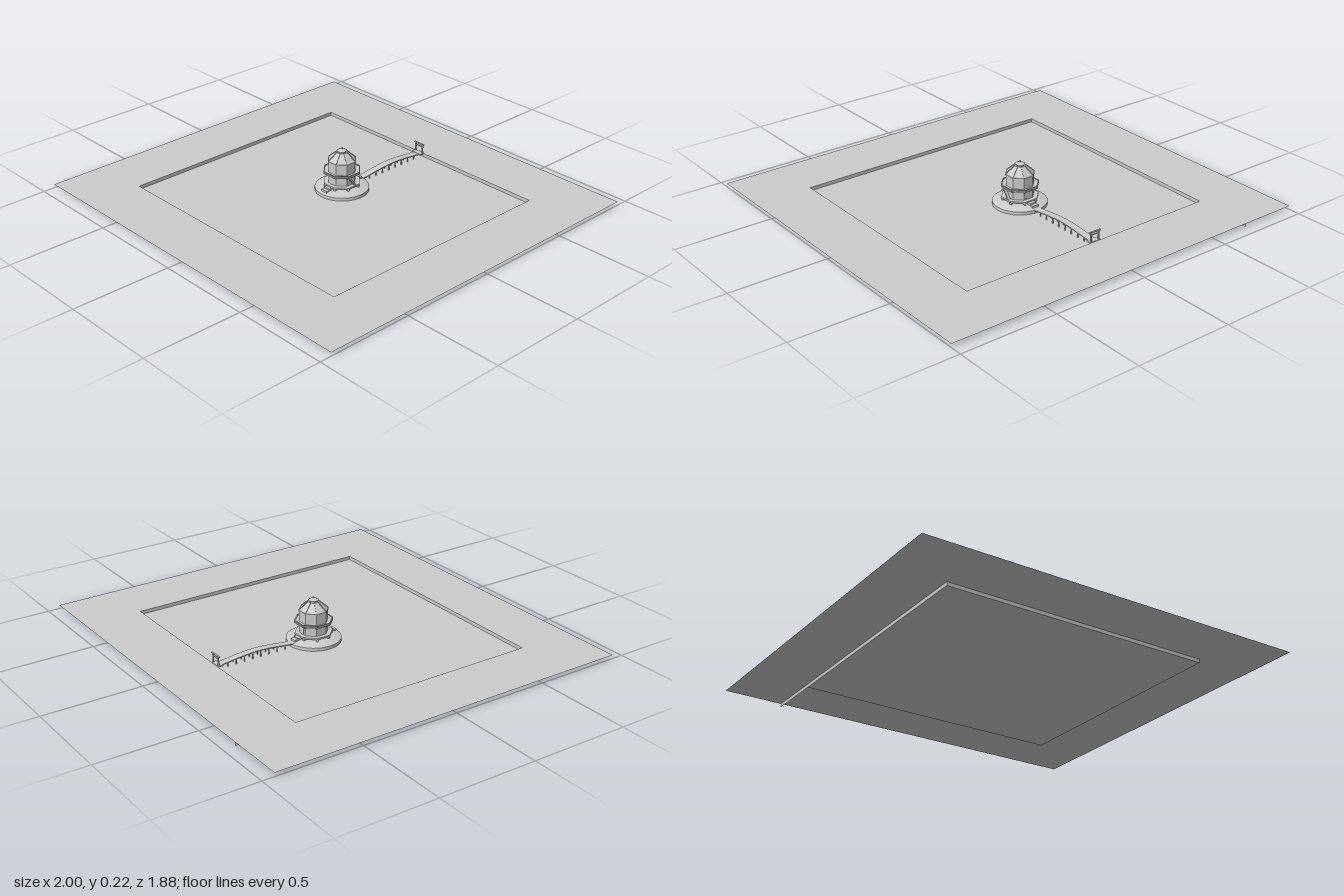
import * as THREE from 'three';

export function createModel() {
  const root = new THREE.Group();
  const mat = new THREE.MeshStandardMaterial({ color: 0xcccccc, flatShading: true, side: THREE.DoubleSide });
  const RIM = 0.018; // height of the ground around the basin

  const add = (parent, name, geo, x = 0, y = 0, z = 0) => {
    const m = new THREE.Mesh(geo, mat);
    m.name = name;
    m.position.set(x, y, z);
    parent.add(m);
    return m;
  };
  const box = (parent, name, w, h, d, x, y, z) => add(parent, name, new THREE.BoxGeometry(w, h, d), x, y, z);
  const group = (name, x = 0, z = 0) => {
    const g = new THREE.Group();
    g.name = name;
    g.position.set(x, 0, z);
    root.add(g);
    return g;
  };
  const rect = (Kind, x0, x1, z0, z1) => {
    const s = new Kind();
    s.moveTo(x0, -z0).lineTo(x1, -z0).lineTo(x1, -z1).lineTo(x0, -z1).closePath();
    return s;
  };

  // Ground sheet with a rectangular sunken basin
  const X = 0.7, ZB = -0.64, ZF = 0.645;
  const ground = rect(THREE.Shape, -1, 1, -0.94, 0.94);
  ground.holes.push(rect(THREE.Path, -X, X, ZB, ZF));
  add(root, 'ground', new THREE.ShapeGeometry(ground).rotateX(-Math.PI / 2), 0, RIM, 0);
  const basin = group('basin');
  add(basin, 'basinFloor', new THREE.ShapeGeometry(rect(THREE.Shape, -X, X, ZB, ZF)).rotateX(-Math.PI / 2));
  const wall = (x0, z0, x1, z1) => {
    const w = add(basin, 'basinWall', new THREE.PlaneGeometry(Math.hypot(x1 - x0, z1 - z0), RIM),
      (x0 + x1) / 2, RIM / 2, (z0 + z1) / 2);
    w.rotation.y = Math.atan2(-(z1 - z0), x1 - x0);
  };
  wall(-X, ZB, X, ZB);
  wall(-X, ZF, X, ZF);
  wall(X, ZB, X, ZF);
  wall(-X, -0.94, -X, ZF); // this side runs on to the back edge

  // Round island
  const tower = group('tower', -0.03, -0.09);
  const prof = [[0.134, 0], [0.134, 0.016], [0.128, 0.019], [0.098, 0.028], [0, 0.028]];
  add(tower, 'island', new THREE.LatheGeometry(prof.map(p => new THREE.Vector2(...p)), 40));

  // Octagonal parts, sized by the distance from the axis to a flat side
  const C = 1 / Math.cos(Math.PI / 8);
  const oct = (name, top, bottom, y0, y1) =>
    add(tower, name, new THREE.CylinderGeometry(top * C, bottom * C, y1 - y0, 8).rotateY(Math.PI / 8), 0, (y0 + y1) / 2, 0);
  const octRing = (name, outer, inner, y0, y1) => {
    const pts = [[inner, y0], [outer, y0], [outer, y1], [inner, y1], [inner, y0]];
    add(tower, name, new THREE.LatheGeometry(pts.map(([r, y]) => new THREE.Vector2(r * C, y)), 8).rotateY(Math.PI / 8));
  };
  oct('platform', 0.086, 0.086, 0.038, 0.046);
  oct('towerBody', 0.065, 0.065, 0.028, 0.157);
  octRing('balcony', 0.088, 0.06, 0.097, 0.103);
  octRing('balconyRail', 0.088, 0.083, 0.107, 0.11);
  oct('eaves', 0.068, 0.068, 0.155, 0.161);
  oct('roof', 0.025, 0.066, 0.161, 0.2);
  oct('cupola', 0.019, 0.019, 0.2, 0.21);
  oct('cupolaRoof', 0.004, 0.024, 0.209, 0.218);
  add(tower, 'finial', new THREE.SphereGeometry(0.005, 8, 6), 0, 0.22, 0);

  // Corner legs, balcony posts, braces and roof ribs
  for (let i = 0; i < 8; i++) {
    const corner = new THREE.Group();
    corner.name = 'corner';
    corner.rotation.y = Math.PI / 8 + i * Math.PI / 4;
    tower.add(corner);
    box(corner, 'leg', 0.011, 0.021, 0.011, 0, 0.03, 0.085);
    box(corner, 'balconyPost', 0.005, 0.012, 0.005, 0, 0.104, 0.092);
    box(corner, 'balconyBrace', 0.004, 0.004, 0.03, 0, 0.091, 0.08).rotation.x = -0.6;
    const rib = box(corner, 'roofRib', 0.004, 0.004, 0.06, 0, 0.182, 0.049);
    rib.rotation.x = Math.atan2(0.039, 0.0444);
  }

  // Front and back steps, and a steep side stair up to the balcony
  for (const s of [1, -1]) {
    box(tower, 'lowerStep', 0.036, 0.022, 0.036, 0, 0.021, s * 0.102);
    box(tower, 'upperStep', 0.036, 0.014, 0.02, 0, 0.032, s * 0.092);
    box(tower, 'door', 0.026, 0.04, 0.004, 0, 0.066, s * 0.065);
  }
  box(tower, 'stair', 0.014, 0.008, 0.068, 0.077, 0.072, 0.008).rotation.x = -0.92;

  // Arched footbridge, a strip extruded across its width
  const bridge = group('bridge', -0.03);
  const Z0 = -0.22, Z1 = -0.625, N = 20;
  const archY = t => 0.019 + 0.017 * Math.sin(Math.PI * t) ** 1.3;
  const side = new THREE.Shape();
  for (let i = 0; i <= N; i++) side[i ? 'lineTo' : 'moveTo'](-(Z0 + (Z1 - Z0) * i / N), archY(i / N));
  for (let i = N; i >= 0; i--) side.lineTo(-(Z0 + (Z1 - Z0) * i / N), archY(i / N) - 0.005);
  const deck = new THREE.ExtrudeGeometry(side, { depth: 0.038, bevelEnabled: false });
  deck.translate(0, 0, -0.019).rotateY(Math.PI / 2);
  add(bridge, 'bridgeDeck', deck);
  for (let i = 1; i < 9; i++) {
    const t = i / 9, h = archY(t) - 0.002;
    for (const s of [1, -1]) box(bridge, 'bridgePile', 0.004, h, 0.005, s * 0.015, h / 2, Z0 + (Z1 - Z0) * t);
  }

  // Gate at the far end of the bridge
  const gate = group('gate', -0.03, -0.635);
  box(gate, 'gateSill', 0.06, 0.006, 0.028, 0, 0.019, 0.008);
  for (const s of [1, -1]) box(gate, 'gatePost', 0.006, 0.054, 0.006, s * 0.023, 0.041, 0);
  box(gate, 'gateLowerBeam', 0.054, 0.004, 0.004, 0, 0.055, 0);
  box(gate, 'gateTopBeam', 0.068, 0.005, 0.008, 0, 0.068, 0);

  return root;
}
